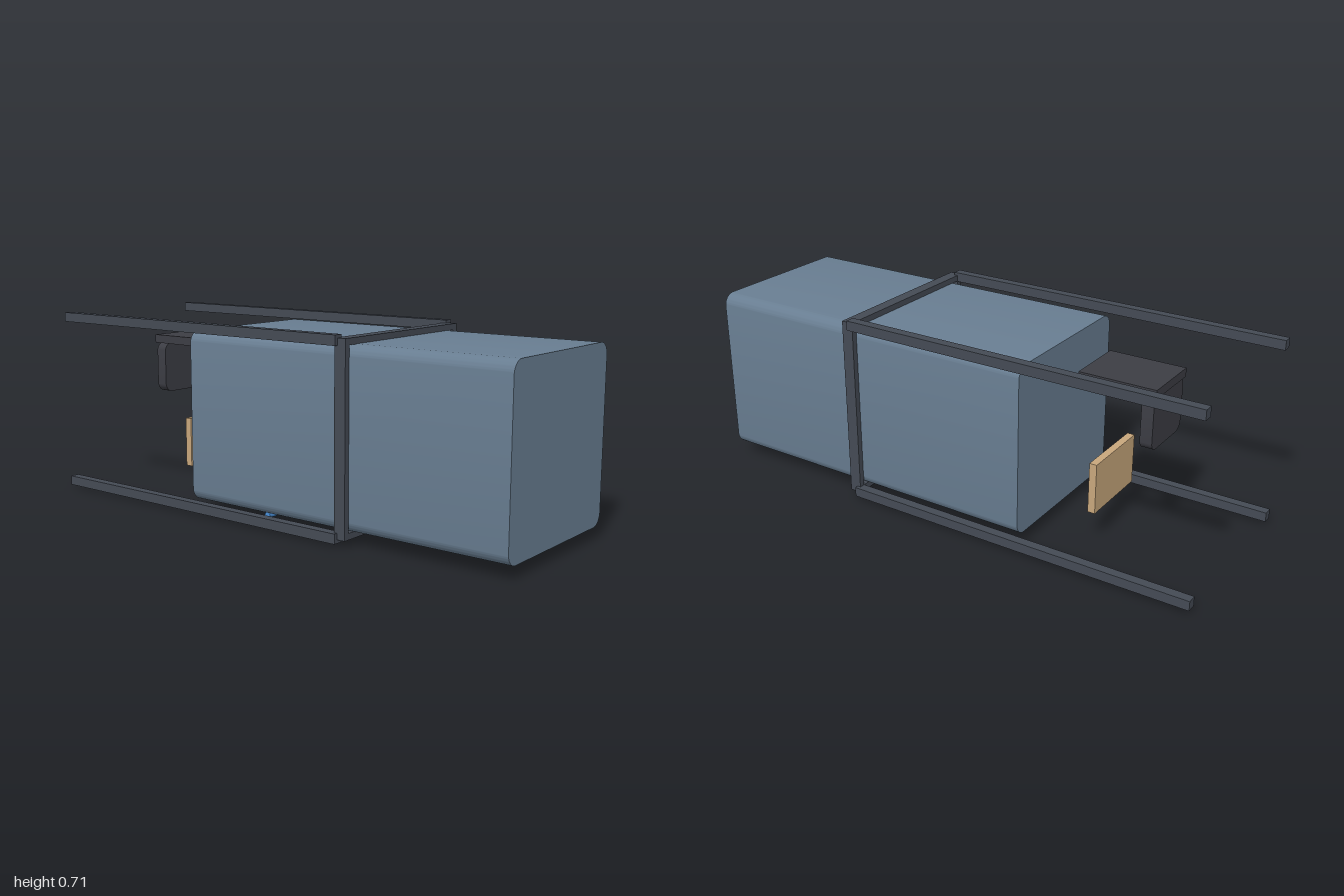
import * as THREE from 'three';
import { toCreasedNormals } from 'three/addons/utils/BufferGeometryUtils.js';

const mat = (color) => new THREE.MeshStandardMaterial({ color });

// Rounded rectangle centred on the origin
function roundedRect(w, h, r) {
  const x = w / 2, y = h / 2, s = new THREE.Shape();
  s.absarc(x - r, y - r, r, 0, Math.PI / 2);
  s.absarc(-x + r, y - r, r, Math.PI / 2, Math.PI);
  s.absarc(-x + r, -y + r, r, Math.PI, Math.PI * 1.5);
  s.absarc(x - r, -y + r, r, Math.PI * 1.5, Math.PI * 2);
  s.closePath();
  return s;
}

export function createModel() {
  const group = new THREE.Group();
  const steel = mat(0x444a54), shell = mat(0x687d91), dark = mat(0x3c3d44);
  const wood = mat(0xc8a77c), blue = mat(0x4a90d9);

  const add = (name, geometry, material, x, y, z) => {
    const mesh = new THREE.Mesh(geometry, material);
    mesh.name = name;
    mesh.position.set(x, y, z);
    group.add(mesh);
    return mesh;
  };
  // Box given by its lower and upper corners
  const box = (name, material, [x0, y0, z0], [x1, y1, z1]) =>
    add(name, new THREE.BoxGeometry(x1 - x0, y1 - y0, z1 - z0), material,
      (x0 + x1) / 2, (y0 + y1) / 2, (z0 + z1) / 2);
  // Rounded rectangle extruded along z
  const slab = (name, material, w, h, r, depth, y, z) =>
    add(name, toCreasedNormals(new THREE.ExtrudeGeometry(roundedRect(w, h, r),
      { depth, bevelEnabled: false, curveSegments: 10 }), 0.6), material, 0, y, z);

  // Long body with rounded edges
  slab('body', shell, 0.634, 0.637, 0.046, 1.333, 0.3635, -0.333);

  // Square hoop around the body
  const z0 = 0.35, z1 = 0.395;
  box('hoopTop', steel, [-0.338, 0.681, z0], [0.338, 0.704, z1]);
  box('hoopBottom', steel, [-0.338, 0.024, z0], [0.338, 0.047, z1]);
  for (const s of [-1, 1]) {
    const side = s > 0 ? 'Left' : 'Right';
    box('hoop' + side, steel, [s * 0.327 - 0.011, 0.047, z0], [s * 0.327 + 0.011, 0.681, z1]);
    // Rails running back from the hoop corners
    box('upperRail' + side, steel, [s * 0.334 - 0.018, 0.679, -1], [s * 0.334 + 0.018, 0.715, 0.363]);
    box('lowerRail' + side, steel, [s * 0.334 - 0.018, 0.011, -1], [s * 0.334 + 0.018, 0.047, 0.363]);
  }

  // Flat plate with a hanging rounded panel
  box('plate', dark, [-0.115, 0.593, -0.733], [0.115, 0.625, -0.443]);
  slab('hangingPanel', dark, 0.225, 0.197, 0.034, 0.045, 0.4955, -0.726);

  // Upright wooden board
  box('board', wood, [-0.143, 0.12, -0.542], [0.143, 0.31, -0.514]);

  // Thin cross rod beneath the body
  add('crossRod', new THREE.CylinderGeometry(0.0118, 0.0118, 0.422, 16), blue, 0, 0.0118, -0.058)
    .rotation.z = Math.PI / 2;

  return group;
}
